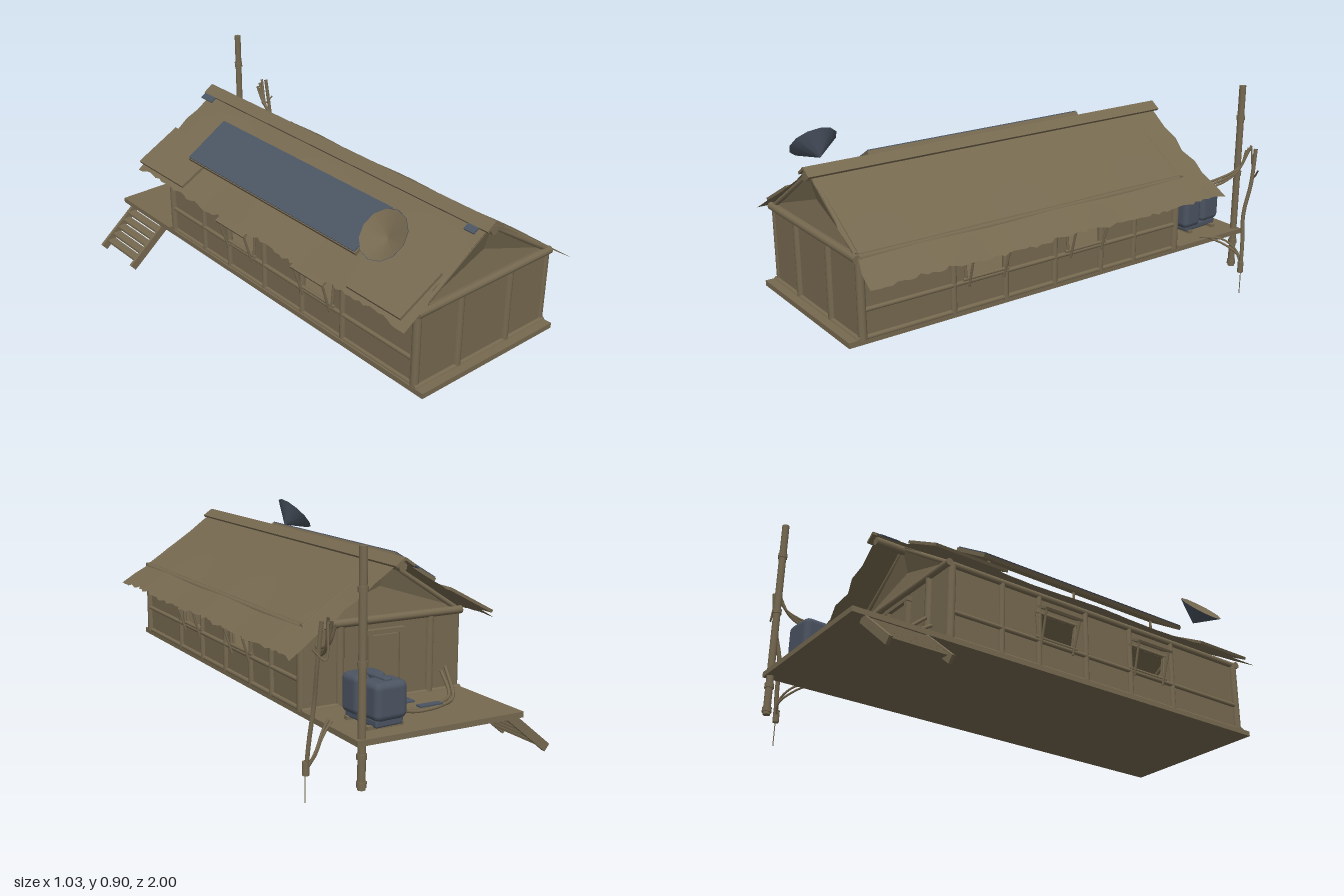
import * as THREE from 'three';
import { RoundedBoxGeometry } from 'three/addons/geometries/RoundedBoxGeometry.js';

export function createModel() {
  const root = new THREE.Group();
  root.name = 'stiltHut';
  const wood = new THREE.MeshStandardMaterial({ color: 0x766950, side: THREE.DoubleSide });
  wood.name = 'weatheredBrown';
  const blue = new THREE.MeshStandardMaterial({ color: 0x4b5462, side: THREE.DoubleSide });
  blue.name = 'slateBlue';
  const V = (x, y, z) => new THREE.Vector3(x, y, z);
  const UP = V(0, 1, 0);

  const add = (name, geo, mat = wood) => {
    const m = new THREE.Mesh(geo, mat);
    m.name = name;
    root.add(m);
    return m;
  };
  const box = (name, w, h, d, x, y, z, mat = wood, rz = 0) => {
    const m = add(name, new THREE.BoxGeometry(w, h, d), mat);
    m.position.set(x, y, z);
    m.rotation.z = rz;
    return m;
  };
  // Round log between two points
  const log = (name, a, b, r, mat = wood) => {
    const m = add(name, new THREE.CylinderGeometry(r, r, a.distanceTo(b), 10), mat);
    m.position.copy(a).lerp(b, 0.5);
    m.quaternion.setFromUnitVectors(UP, b.clone().sub(a).normalize());
    return m;
  };
  const cable = (name, pts, r = 0.006) =>
    add(name, new THREE.TubeGeometry(new THREE.CatmullRomCurve3(pts.map(p => V(...p))), 24, r, 6), wood);
  let seed = 7;
  const rand = () => ((seed = (seed * 16807) % 2147483647) / 2147483647);

  // Floor slab and its rounded rim at both long edges
  box('floorDeck', 0.71, 0.022, 2, 0.008, 0.228, 0);

  // Side walls with two window openings each
  const L = -0.33, R = 0.355, FRONT = 0.945, BACK = -0.595, windows = [0.405, -0.085];
  const wallShape = new THREE.Shape([[BACK, 0.235], [FRONT, 0.235], [FRONT, 0.565], [BACK, 0.565]]
    .map(p => new THREE.Vector2(...p)));
  for (const z of windows) wallShape.holes.push(new THREE.Path([[z - 0.1, 0.365], [z - 0.085, 0.465],
    [z + 0.1, 0.465], [z + 0.085, 0.365]].map(p => new THREE.Vector2(...p))));
  for (const [side, x] of [[-1, L], [1, R]]) {
    const g = new THREE.ExtrudeGeometry(wallShape, { depth: 0.01, bevelEnabled: false });
    g.rotateY(-Math.PI / 2);
    add('sideWall', g).position.x = x + (side < 0 ? 0.01 : 0);
    for (const z of [0.94, 0.55, 0.31, 0.07, -0.17, -0.35, -0.585])
      log('sidePost', V(x, 0.235, z), V(x, 0.55, z), z > 0.9 || z < -0.5 ? 0.017 : 0.013);
    log('sideRail', V(x + side * 0.004, 0.35, BACK), V(x + side * 0.004, 0.35, FRONT), 0.009);
    log('wallPlate', V(x, 0.55, BACK), V(x, 0.55, FRONT), 0.014);
    log('sillRail', V(x, 0.24, BACK), V(x, 0.24, FRONT), 0.01);
    // Window frames and propped shutters
    for (const z of windows) {
      const f = x + side * 0.006;
      for (const y of [0.362, 0.47]) log('windowFrame', V(f, y, z - 0.105), V(f, y, z + 0.105), 0.007);
      for (const s of [-1, 1]) {
        log('windowFrame', V(f, 0.362, z + s * 0.09), V(f, 0.47, z + s * 0.1), 0.006);
        log('shutterProp', V(x + side * 0.01, 0.33, z + s * 0.08), V(x + side * 0.052, 0.468, z + s * 0.085), 0.005);
      }
      box('shutter', 0.068, 0.01, 0.19, x + side * 0.032, 0.485, z, wood, -side * 0.5);
    }
  }

  // End walls, gables, tie beams
  for (const [end, z] of [[1, FRONT], [-1, BACK]]) {
    box('endWall', R - L, 0.33, 0.012, 0.0125, 0.4, z);
    const A = [L, 0.56, z], B = [R, 0.56, z], M = [0.0125, 0.67, z - end * 0.02], T = [0.0125, 0.785, z + end * 0.012];
    const tris = [A, B, M, A, M, T, B, T, M].flat();
    const g = new THREE.BufferGeometry();
    g.setAttribute('position', new THREE.Float32BufferAttribute(tris, 3));
    if (end < 0) g.setIndex([0, 2, 1, 3, 5, 4, 6, 8, 7]);
    g.computeVertexNormals();
    add('gable', g);
    log('tieBeam', V(L - 0.015, 0.55, z + end * 0.008), V(R + 0.01, 0.55, z + end * 0.008), 0.016);
    log('sillBeam', V(L - 0.015, 0.236, z + end * 0.008), V(R + 0.01, 0.236, z + end * 0.008), 0.012);
    for (const x of end > 0 ? [-0.122, 0.14] : [-0.2, 0.2])
      log('endPost', V(x, 0.235, z + end * 0.004), V(x, 0.55, z + end * 0.004), 0.017);
    for (const x of [L + 0.01, R - 0.012])
      log('rafter', V(x, 0.56, z), V(0.0125, 0.775, z), 0.01);
  }

  // Back door with frame and mat
  box('door', 0.125, 0.25, 0.012, 0.01, 0.365, BACK - 0.012);
  for (const x of [-0.06, 0.08]) box('doorJamb', 0.018, 0.27, 0.025, x, 0.375, BACK - 0.014);
  box('doorLintel', 0.17, 0.018, 0.028, 0.01, 0.505, BACK - 0.014);
  box('doorMat', 0.15, 0.006, 0.08, 0.01, 0.243, -0.67, blue);

  // Roof sheets with ragged outer edges and a light ripple
  const sheet = (name, ridge, eave, z0, z1, rag) => {
    const nu = 8, nv = 70, g = new THREE.PlaneGeometry(1, 1, nu, nv), p = g.attributes.position;
    for (let i = 0; i < p.count; i++) {
      const u = p.getX(i) + 0.5, v = p.getY(i) + 0.5;
      const edgeV = v === 0 || v === 1 ? (rand() - 0.5) * rag * 1.6 * u : 0;
      const t = u * (1 + (u === 1 ? (rand() - 0.5) * rag : 0));
      const ripple = Math.sin(v * 17) * 0.004 * u * u - Math.sin(u * Math.PI) * 0.006;
      p.setXYZ(i, ridge[0] + (eave[0] - ridge[0]) * t, ridge[1] + (eave[1] - ridge[1]) * t + ripple,
        z0 + (z1 - z0) * v + edgeV);
    }
    g.computeVertexNormals();
    add(name, g);
  };
  sheet('roofSheetRight', [0.0125, 0.79], [0.483, 0.482], -0.725, 0.955, 0.035);
  sheet('roofSheetLeft', [0.0125, 0.79], [-0.425, 0.53], -0.715, 0.955, 0.035);

  // Ridge cap
  for (const s of [-1, 1]) box('ridgeCap', 0.05, 0.01, 1.72, 0.0125 + s * 0.02, 0.784, 0.113, wood, -s * 0.6);
  log('ridgePole', V(0.0125, 0.765, -0.73), V(0.0125, 0.765, 0.97), 0.018);

  // Patches and loose sheets on the left slope
  const slope = 0.54;
  for (const z of [-0.7, 0.905]) box('ridgePatch', 0.032, 0.006, z < 0 ? 0.08 : 0.05, -0.04, 0.765, z, blue, slope);
  box('loosePanelBack', 0.225, 0.012, 0.33, -0.315, 0.607, -0.547, wood, slope - 0.05);
  box('loosePanelFront', 0.225, 0.012, 0.28, -0.315, 0.607, 0.8, wood, slope - 0.05);

  // Raised solar panel
  box('solarPanelFrame', 0.228, 0.016, 1.06, -0.2375, 0.7, 0.09, wood, 0.55);
  box('solarPanelFace', 0.222, 0.005, 1.05, -0.2425, 0.709, 0.09, blue, 0.55);
  for (const z of [-0.35, 0.09, 0.53])
    log('panelBracket', V(-0.24, 0.645, z), V(-0.24, 0.695, z), 0.006);

  // Dish: blue conical back, brown hollow face
  const axis = V(0.72, -0.695, 0).normalize();
  for (const [name, r, h, mat] of [['dishBack', 0.102, 0.077, blue], ['dishFace', 0.1, 0.035, wood]]) {
    const m = add(name, new THREE.ConeGeometry(r, h, 12, 1, true), mat);
    m.position.set(-0.335, 0.783, 0.76).addScaledVector(axis, h / 2);
    m.quaternion.setFromUnitVectors(UP, axis);
  }

  // Stairs
  for (const z of [-0.94, -0.69]) box('stairStringer', 0.25, 0.035, 0.014, -0.415, 0.137, z, wood, 0.69);
  for (let i = 0; i < 5; i++)
    box('stairTread', 0.04, 0.01, 0.25, -0.473 + i * 0.03, 0.085 + i * 0.027, -0.815);

  // Utility pole with bands
  log('utilityPole', V(0.335, 0.055, -0.98), V(0.335, 0.9, -0.98), 0.015);
  for (const y of [0.075, 0.175, 0.5, 0.755])
    log('poleBand', V(0.335, y - 0.01, -0.98), V(0.335, y + 0.01, -0.98), 0.019);

  // Generator
  const gen = new THREE.Group();
  gen.name = 'generator';
  const part = (name, w, h, d, x, y, z, r) => {
    const m = new THREE.Mesh(new RoundedBoxGeometry(w, h, d, 2, r), blue);
    m.name = name;
    m.position.set(x, y, z);
    gen.add(m);
  };
  part('generatorRear', 0.14, 0.14, 0.115, 0, 0.34, -0.055, 0.025);
  part('generatorFront', 0.14, 0.15, 0.105, 0, 0.338, 0.06, 0.025);
  part('generatorBase', 0.12, 0.03, 0.19, 0, 0.262, 0, 0.008);
  part('generatorHandle', 0.03, 0.02, 0.17, 0, 0.41, 0, 0.008);
  gen.position.set(0.2, 0, -0.84);
  gen.rotation.y = 0.08;
  root.add(gen);
  for (const z of [-0.91, -0.77]) box('generatorSkid', 0.15, 0.014, 0.02, 0.2, 0.246, z);

  // Hanging cables around the pole
  for (let i = 0; i < 3; i++) {
    const o = i * 0.014;
    cable('roofCable', [[0.34, 0.47 + o, -0.67], [0.39, 0.49 + o, -0.78], [0.42, 0.54 + o, -0.88 - o], [0.445 - o, 0.66 - o, -0.94]], 0.006);
  }
  cable('hangingCable', [[0.47, 0.65, -0.94], [0.475, 0.5, -0.92], [0.47, 0.36, -0.89], [0.485, 0.22, -0.88], [0.492, 0.1, -0.87]], 0.009);
  cable('crossCable', [[0.445, 0.65, -0.94], [0.46, 0.52, -0.95], [0.5, 0.56, -0.93]], 0.004);
  for (const o of [0, 0.02])
    cable('deckCable', [[0.34, 0.245, -0.76 - o], [0.41, 0.235 - o, -0.84], [0.46, 0.18 - o / 2, -0.88], [0.49, 0.12, -0.87]], 0.005);
  log('cableWeight', V(0.492, 0.1, -0.87), V(0.492, 0.15, -0.87), 0.013);
  log('groundWire', V(0.495, 0, -0.87), V(0.495, 0.11, -0.87), 0.002);

  // Cables lying on the deck
  for (const o of [0, 0.025])
    cable('floorCable', [[0.13, 0.28, -0.84 + o], [0.02, 0.248, -0.83 + o], [-0.12, 0.248, -0.81 + o],
      [-0.21, 0.255, -0.75 + o], [-0.25, 0.34 - o, -0.64 + o]], 0.007);
  box('cablePatch', 0.1, 0.006, 0.03, -0.06, 0.258, -0.81, blue);
  return root;
}
